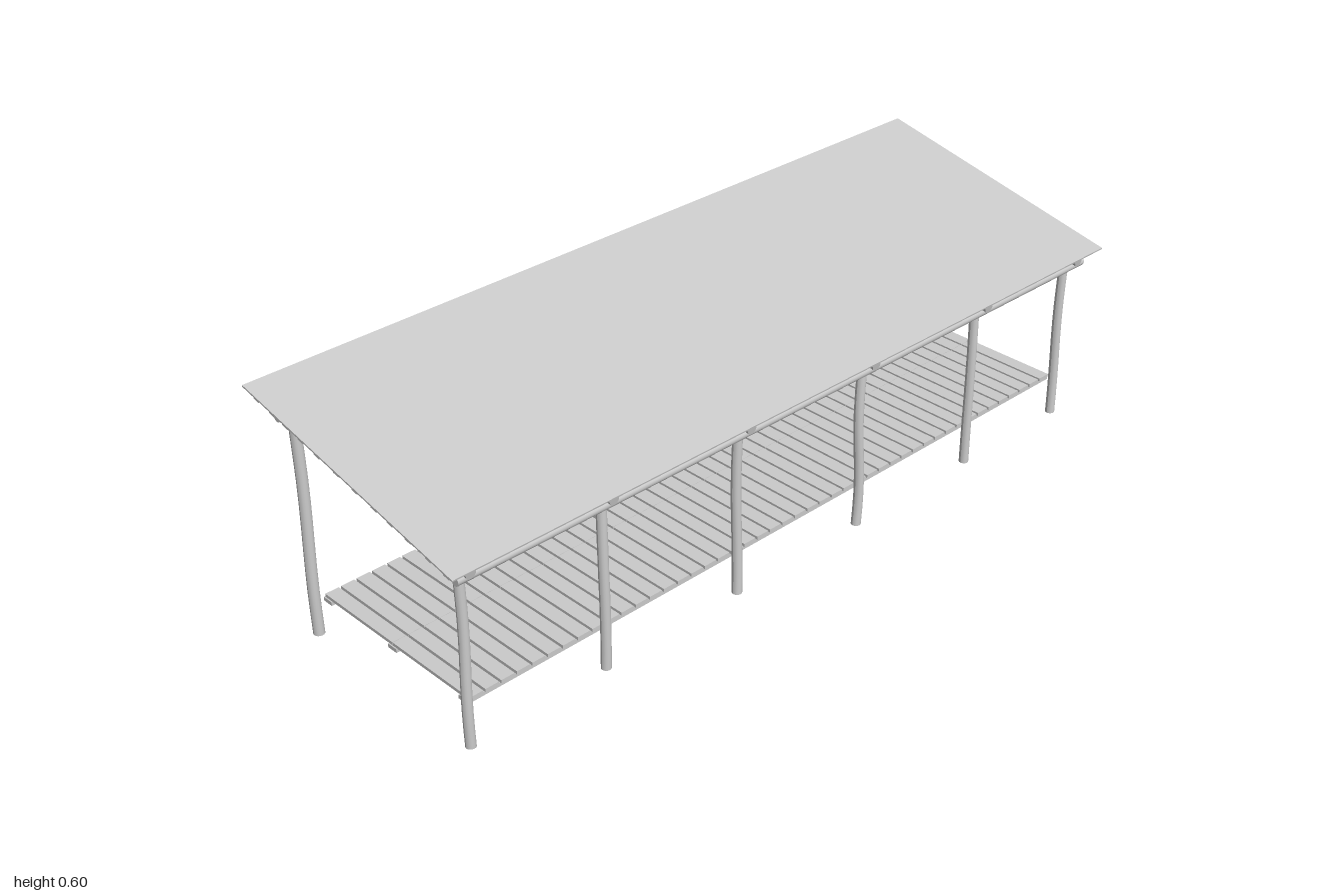
import * as THREE from 'three';

const material = new THREE.MeshStandardMaterial({ color: 0xcccccc });

// Roof line: height of the sheet's centre plane above any x
const SLOPE = -0.212;
const TILT = Math.atan(SLOPE);
const roofY = (x) => 0.526 + SLOPE * x;
const FRAME_Z = [0.946, 0.585, 0.198, -0.193, -0.585, -0.928];

export function createModel() {
  const model = new THREE.Group();

  function add(name, geometry, x, y, z, tilt = 0) {
    const mesh = new THREE.Mesh(geometry, material);
    mesh.name = name;
    mesh.position.set(x, y, z);
    mesh.rotation.z = tilt;
    model.add(mesh);
    return mesh;
  }

  // Round timber standing on its base, gently bowed along its length
  function log(radius, length, bowX = 0, bowZ = 0) {
    const geometry = new THREE.CylinderGeometry(radius * 0.97, radius, length, 16, 10);
    const p = geometry.attributes.position;
    for (let i = 0; i < p.count; i++) {
      const t = p.getY(i) / length + 0.5;
      const bend = Math.sin(t * Math.PI);
      p.setX(i, p.getX(i) + bowX * bend);
      p.setZ(i, p.getZ(i) + bowZ * bend * Math.cos(t * 4));
    }
    geometry.computeVertexNormals();
    return geometry;
  }

  // Posts and sloping rafters, one frame at each station
  const rafterLength = Math.hypot(0.624, 0.131);
  FRAME_Z.forEach((z, i) => {
    const bow = i === 0 ? 0 : 0.003 * Math.sin(i * 2.3);
    const sway = i === 3 ? -0.009 : 0.004 * Math.cos(i * 1.9);
    add('tallPost', log(0.013, 0.55, Math.abs(bow), sway), -0.244, 0.275, z);
    add('shortPost', log(0.0118, 0.436, bow, sway), 0.278, 0.218, z);
    add('rafter', log(0.0122, rafterLength), 0.008, 0.5035, z, TILT + Math.PI / 2);
  });

  // Long round beams running beside the post tops
  for (const [name, x, y] of [['highBeam', -0.27, 0.537], ['lowBeam', 0.297, 0.421]]) {
    add(name, log(0.0117, 1.936), x, y, 0).rotation.x = Math.PI / 2;
  }

  // Roof battens and the sheet on top of them
  const battens = [-0.295, -0.242, -0.197, -0.146, -0.092, -0.03, 0.03, 0.09, 0.139, 0.195, 0.256, 0.31];
  for (const x of battens) {
    add('roofBatten', new THREE.BoxGeometry(0.018, 0.0105, 1.99), x, roofY(x) - 0.007, 0, TILT);
  }
  add('roofSheet', new THREE.BoxGeometry(0.684, 0.004, 2), 0, roofY(0), 0, TILT);

  // Deck bearers
  for (const x of [-0.211, 0.016, 0.249]) {
    add('deckBearer', new THREE.BoxGeometry(0.028, 0.0095, 1.86), x, 0.0945, 0.006);
  }

  // Deck boards in two rows meeting over the middle bearer
  const count = 46;
  const pitch = 1.86 / count;
  for (let i = 0; i < count; i++) {
    const z = 0.936 - pitch * (i + 0.5);
    for (const [x0, x1] of [[-0.223, 0.0145], [0.0155, 0.267]]) {
      add('deckBoard', new THREE.BoxGeometry(x1 - x0, 0.008, pitch - 0.006), (x0 + x1) / 2, 0.103, z);
    }
  }

  return model;
}
